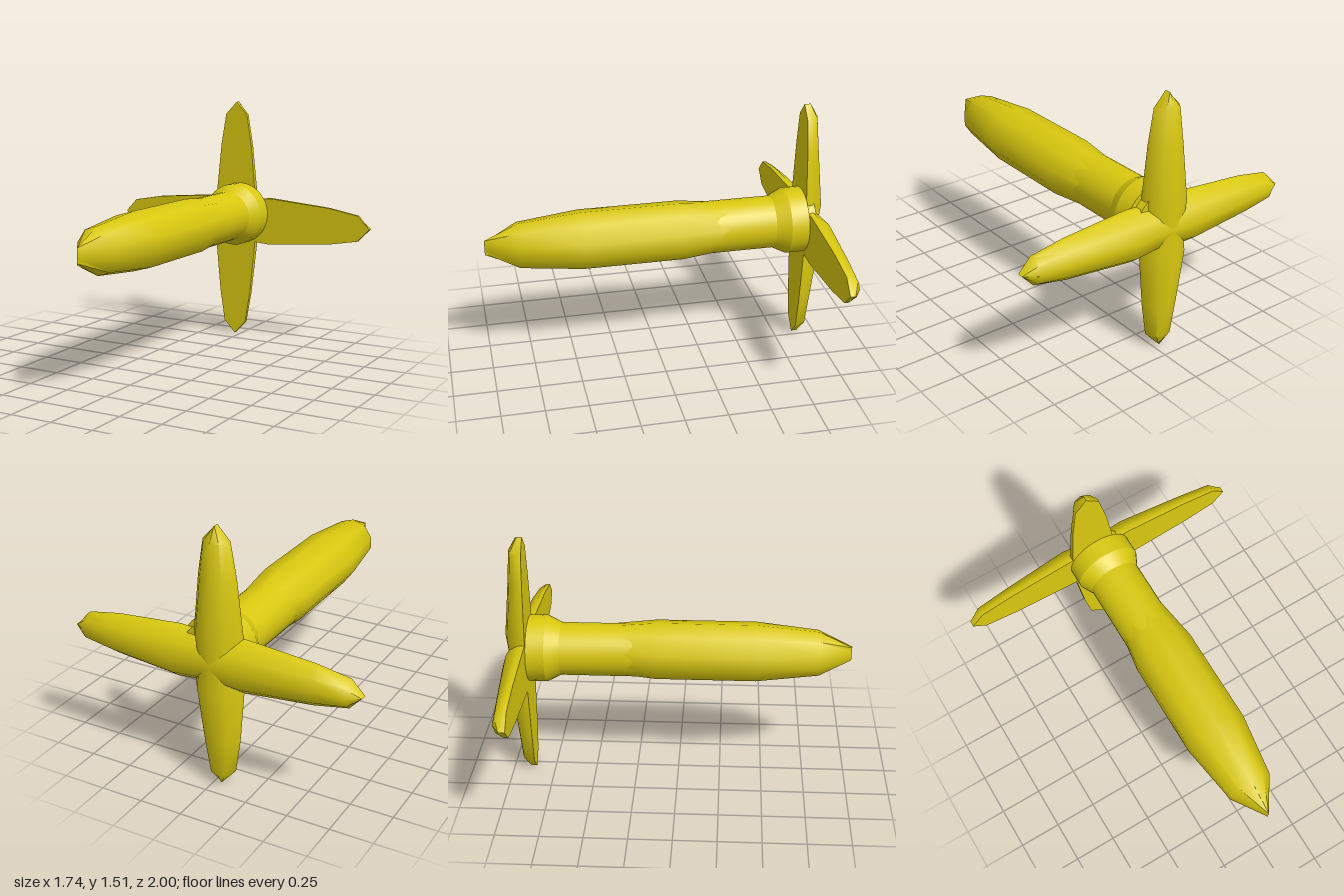
import * as THREE from 'three';
import { toCreasedNormals } from 'three/addons/utils/BufferGeometryUtils.js';

const material = new THREE.MeshStandardMaterial({ color: 0xd9c80f });

// Upper half of the faceted cross-section, counter-clockwise
const arch = [[1, 0.27], [0.62, 0.81], [0, 1], [-0.62, 0.81], [-1, 0.27]];
const roundSection = [...arch, ...arch.map(([u, v]) => [-u, -v])];
const flatSection = [[1, 0], ...arch, [-1, 0]];

// Skin a section along z; each station is [z, half width, height]
function loft(section, stations) {
  const n = section.length, positions = [], index = [];
  for (const [z, w, h] of stations) {
    for (const [u, v] of section) positions.push(u * w, v * h, z);
  }
  for (let i = 0; i < stations.length - 1; i++) {
    for (let j = 0; j < n; j++) {
      const a = i * n + j, b = i * n + (j + 1) % n;
      index.push(a, b, b + n, a, b + n, a + n);
    }
  }
  const geometry = new THREE.BufferGeometry();
  geometry.setAttribute('position', new THREE.Float32BufferAttribute(positions, 3));
  geometry.setIndex(index);
  return toCreasedNormals(geometry, 0.87);
}

// Double-ended blade: flat front, domed back, lying along y
function bladeGeometry(half, width, depth) {
  const end = [[half[2], 1, 1], [half[1], 0.77, 0.74], [half[0], 0.535, 0.61]];
  const tip = half[3];
  const right = [...end, [tip, 0, 0.27]];
  const left = right.map(([z, w, h]) => [-z, w, h]).reverse();
  const stations = [...left, [0, 0.88, 0.88], ...right]
    .map(([z, w, h]) => [z, w * width, h * depth]);
  return loft(flatSection, stations).rotateX(-Math.PI / 2);
}

export function createModel() {
  const group = new THREE.Group();
  const add = (name, geometry, x, y, z) => {
    const mesh = new THREE.Mesh(geometry, material);
    mesh.name = name;
    mesh.position.set(x, y, z);
    group.add(mesh);
    return mesh;
  };

  // Long body, closing to an upright edge at the nose
  add('body', loft(roundSection, [
    [-0.5, 0.125, 0.135], [-0.13, 0.18, 0.168], [0.45, 0.18, 0.168],
    [0.81, 0.127, 0.133], [1, 0, 0.045],
  ]), 0, 0.807, 0);

  // Shaft flaring into a collar, with the hub plate behind it
  const profile = [
    [0.154, -0.05], [0.154, 0.68], [0.194, 0.76], [0.194, 0.865],
    [0.166, 0.865], [0.166, 0.915], [0, 0.915],
  ].map(([r, y]) => new THREE.Vector2(r, y));
  const shaft = toCreasedNormals(new THREE.LatheGeometry(profile, 32), 0.4);
  add('shaftAndCollar', shaft.rotateX(-Math.PI / 2), -0.007, 0.802, 0);

  // Crossed blades at the rear
  add('verticalBlades', bladeGeometry([0.675, 0.475, 0.15, 0.755], 0.139, 0.133),
    -0.041, 0.757, -0.866);
  add('horizontalBlades', bladeGeometry([0.795, 0.6, 0.2, 0.87], 0.148, 0.134)
    .rotateZ(-Math.PI / 2), 0, 0.757, -0.866);

  return group;
}
